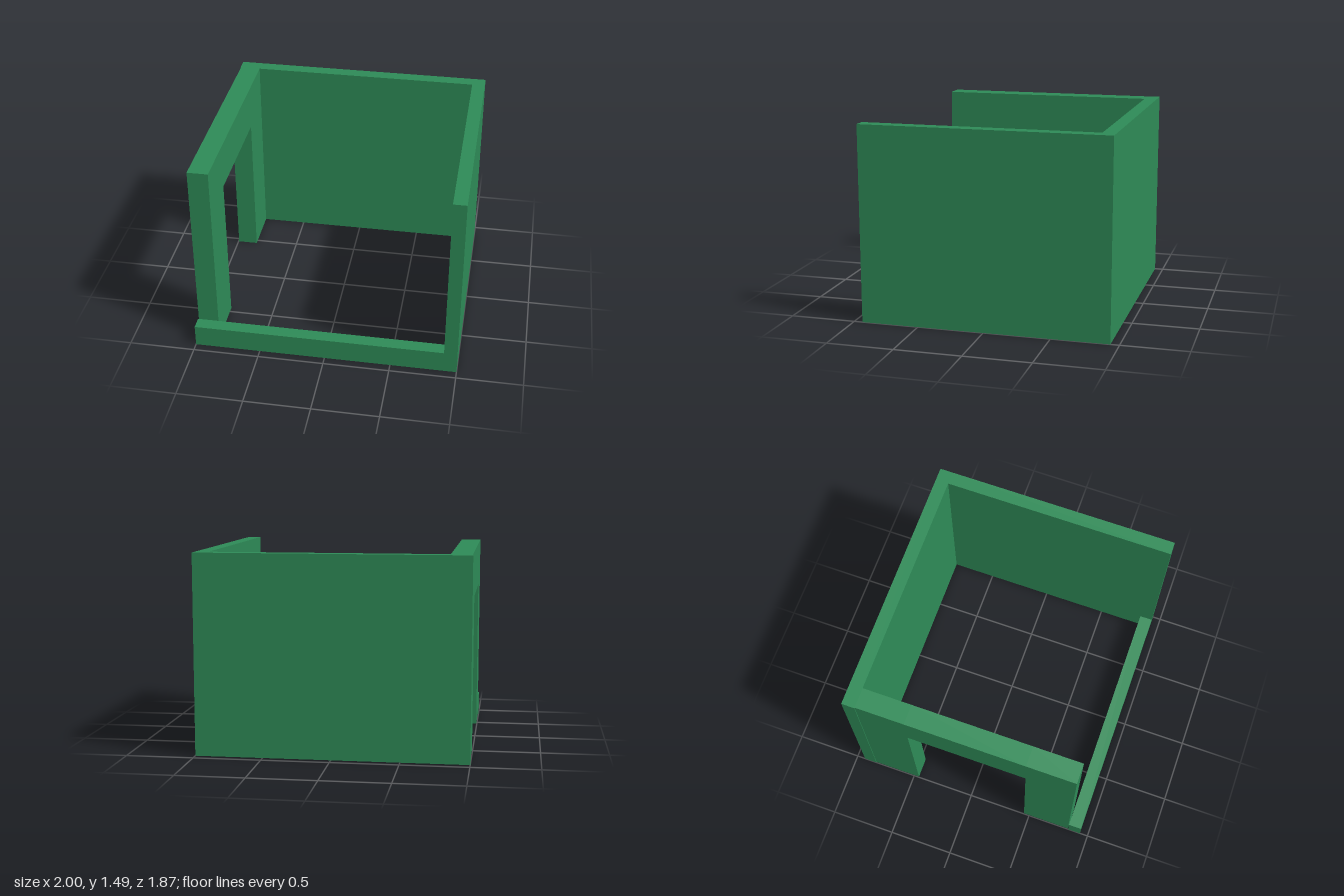
import * as THREE from 'three';

export function createModel() {
  const group = new THREE.Group();
  const green = new THREE.MeshStandardMaterial({ color: 0x2e8b57 });
  green.name = 'sea green';

  // Box spanning two opposite corners
  const block = (name, [x0, y0, z0], [x1, y1, z1]) => {
    const mesh = new THREE.Mesh(new THREE.BoxGeometry(x1 - x0, y1 - y0, z1 - z0), green);
    mesh.name = name;
    mesh.position.set((x0 + x1) / 2, (y0 + y1) / 2, (z0 + z1) / 2);
    group.add(mesh);
  };

  const H = 1.485, D = 0.935, inner = 0.835;

  // Solid walls and the low front sill
  block('backWall', [-1, 0, -D], [1, H, -inner]);
  block('leftWall', [0.9, 0, -inner], [1, H, D]);
  block('frontSill', [-1, 0, inner], [0.9, 0.17, D]);

  // Doorway side: two posts joined by a lintel
  const outer = -0.995, face = -0.84;
  block('backDoorPost', [outer, 0, -inner], [face, H, -0.46]);
  block('frontDoorPost', [outer, 0, 0.455], [face, H, 0.83]);
  block('doorLintel', [outer, 1.15, -0.46], [face, H, 0.455]);

  return group;
}
